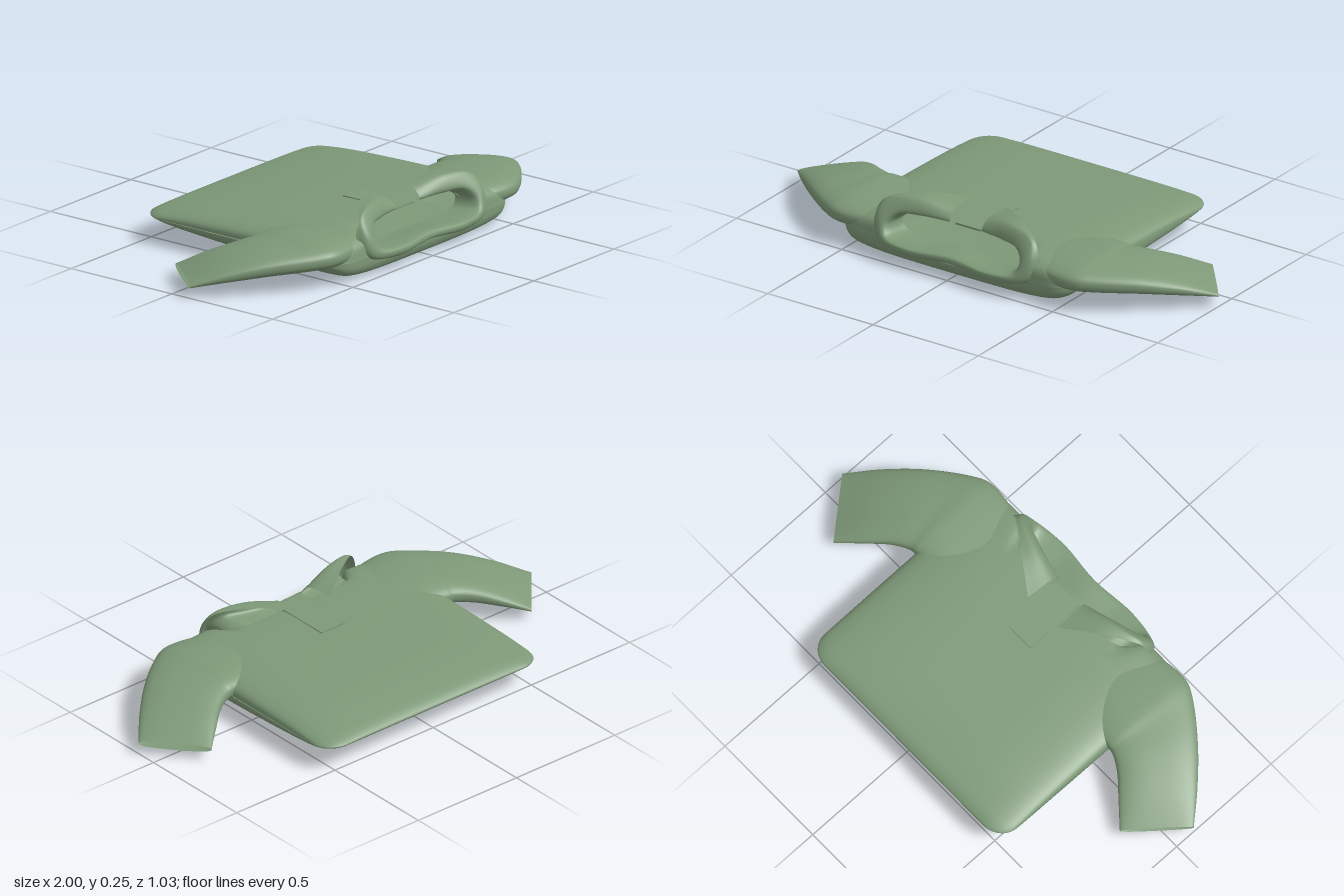
import * as THREE from 'three';

const V = (x, y, z) => new THREE.Vector3(x, y, z);
const lerp = THREE.MathUtils.lerp;

// Smooth surface through a grid of points; rows may close into loops
function skin(rows, closed = false) {
  const n = rows[0].length;
  const index = [];
  for (let i = 0; i < rows.length - 1; i++) {
    for (let j = 0; j < (closed ? n : n - 1); j++) {
      const k = (j + 1) % n;
      const a = i * n + j, b = a + n, c = i * n + k, d = c + n;
      index.push(a, b, c, b, d, c);
    }
  }
  const geo = new THREE.BufferGeometry().setFromPoints(rows.flat());
  geo.setIndex(index);
  geo.computeVertexNormals();
  return geo;
}

const spline = (pts, n) => new THREE.CatmullRomCurve3(pts, false, 'centripetal').getPoints(n);

// Torso: z-y sections swept across x, open at the neck
function torsoGeometry() {
  const half = 0.548, mid = 0.1, rows = [];
  for (let i = 0; i <= 80; i++) {
    const x = half * Math.sin((i / 80 - 0.5) * Math.PI);
    const ax = Math.abs(x);
    const neck = 1 - THREE.MathUtils.smoothstep(ax, 0.27, 0.36);
    const profile = [
      [lerp(0.468, 0.355, neck), lerp(0.08, 0.173, neck)],
      [lerp(0.455, 0.335, neck), lerp(0.14, 0.176, neck)],
      [lerp(0.41, 0.3, neck), lerp(0.17, 0.178, neck)],
      [0.25, 0.179], [0.1, 0.177], [-0.1, 0.17], [-0.3, 0.158], [-0.42, 0.143],
      [-0.49, 0.127], [-0.516, 0.107], [-0.49, 0.086], [-0.4, 0.06], [-0.2, 0.033],
      [0, 0.017], [0.2, 0.007], [0.4, 0.003], [0.45, 0.012],
      [0.466, 0.04], [0.468, lerp(0.08, 0.055, neck)],
    ];
    const thick = Math.pow(Math.max(0, 1 - Math.pow(ax / half, 4)), 1 / 3);
    // rounded corners in plan
    const c = Math.min(1, Math.max(0, (ax - 0.45) / 0.098));
    const cut = 0.09 * (1 - Math.sqrt(1 - c * c));
    const pts = profile.map(([z, y]) => V(x, mid + (y - mid) * Math.max(thick, 0.02), z * (1 - cut / 0.51)));
    rows.push(spline(pts, 90));
  }
  return skin(rows);
}

// Sleeve: flattened loops between front and back edges, open at the cuff
function sleeveGeometry(side) {
  // front x, z; back x, z; top y, bottom y
  const keys = [
    [0.36, 0.435, 0.36, 0.1, 0.172, 0.06],
    [0.47, 0.463, 0.47, 0.06, 0.176, 0.06],
    [0.565, 0.463, 0.55, 0.055, 0.176, 0.062],
    [0.64, 0.425, 0.575, 0.052, 0.169, 0.062],
    [0.78, 0.318, 0.64, 0.018, 0.153, 0.056],
    [0.9, 0.203, 0.725, -0.053, 0.117, 0.043],
    [1.0, 0.09, 0.815, -0.13, 0.063, 0.032],
  ];
  const part = (a, b, c) => spline(keys.map(k => V(k[a], k[b], c === undefined ? 0 : k[c])), 40);
  const front = part(0, 1, 4), back = part(2, 3, 5);
  const rows = front.map((f, i) => {
    const b = back[i], loop = [];
    const cy = (f.z + b.z) / 2, h = (f.z - b.z) / 2;
    for (let j = 0; j < 48; j++) {
      const a = j / 48 * Math.PI * 2, c = Math.cos(a), s = Math.sin(a);
      const t = (1 - Math.sign(c) * Math.pow(Math.abs(c), 0.85)) / 2;
      const y = cy + h * Math.sign(s) * Math.pow(Math.abs(s), 0.75);
      loop.push(V(side * lerp(f.x, b.x, t), y, lerp(f.y, b.y, t)));
    }
    return side > 0 ? loop : loop.reverse();
  });
  return skin(rows, true);
}

// Folded collar: inner stand, rim, fold and flap edge, from one tip round the back to the other
function collarGeometry() {
  const half = [
    [V(0.075, 0.172, 0.32), V(0.075, 0.188, 0.375), V(0.078, 0.222, 0.345), V(0.085, 0.235, 0.222)],
    [V(0.2, 0.175, 0.33), V(0.2, 0.194, 0.405), V(0.22, 0.25, 0.385), V(0.245, 0.254, 0.333)],
    [V(0.26, 0.172, 0.35), V(0.285, 0.19, 0.435), V(0.335, 0.235, 0.42), V(0.36, 0.225, 0.412)],
    [V(0.3, 0.145, 0.37), V(0.32, 0.15, 0.465), V(0.365, 0.17, 0.46), V(0.392, 0.15, 0.43)],
    [V(0.285, 0.105, 0.37), V(0.305, 0.105, 0.49), V(0.345, 0.085, 0.485), V(0.38, 0.085, 0.44)],
    [V(0.17, 0.085, 0.36), V(0.19, 0.09, 0.508), V(0.2, 0.065, 0.508), V(0.24, 0.043, 0.46)],
  ];
  const centre = [V(0, 0.09, 0.36), V(0, 0.098, 0.49), V(0, 0.075, 0.495), V(0, 0.056, 0.46)];
  const flip = half.map(s => s.map(p => V(-p.x, p.y, p.z))).reverse();
  const sections = [...half, centre, ...flip];
  const rails = [0, 1, 2, 3].map(k => spline(sections.map(s => s[k]), 96));
  return skin(rails[0].map((_, i) => spline(rails.map(r => r[i]), 20)));
}

export function createModel() {
  const group = new THREE.Group();
  const fabric = new THREE.MeshStandardMaterial({ color: 0x7d9877, side: THREE.DoubleSide });
  fabric.name = 'sage green fabric';
  const add = (name, geo) => {
    const mesh = new THREE.Mesh(geo, fabric);
    mesh.name = name;
    group.add(mesh);
    return mesh;
  };

  add('torso', torsoGeometry());
  add('leftSleeve', sleeveGeometry(1));
  add('rightSleeve', sleeveGeometry(-1));
  add('collar', collarGeometry());

  // Button placket down the chest
  add('placket', new THREE.BoxGeometry(0.12, 0.008, 0.26)).position.set(0, 0.178, 0.23);
  return group;
}
